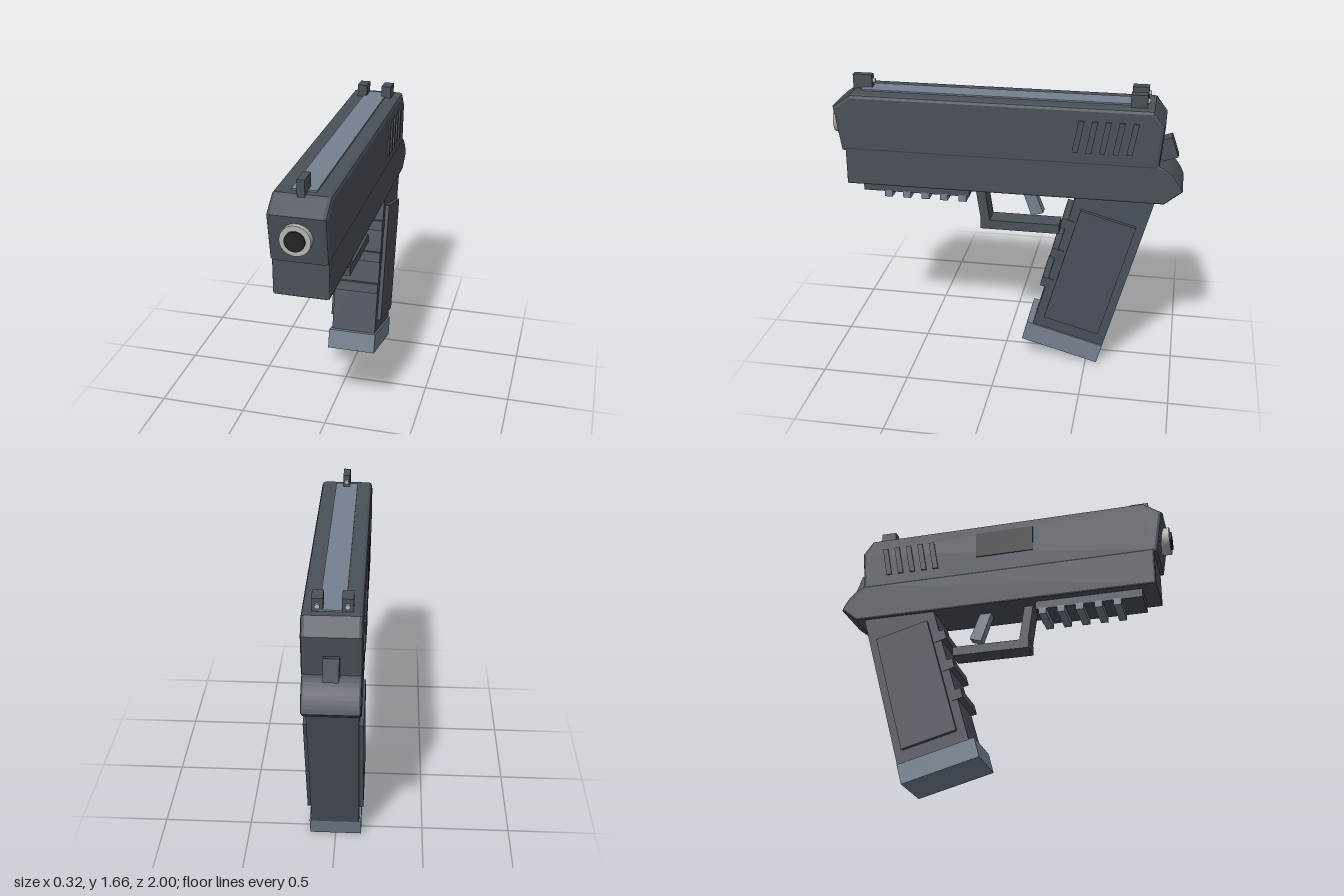
import * as THREE from 'three';

const material = (name, color) => {
  const m = new THREE.MeshStandardMaterial({ color });
  m.name = name;
  return m;
};

export function createModel() {
  const model = new THREE.Group();
  model.name = 'toyPistol';
  const body = material('slate grey', 0x4a5059);
  const accent = material('light slate', 0x75808f);
  const steel = material('pale steel', 0xb4b4b4);
  const dark = material('near black', 0x222328);

  const add = (name, geometry, mat, x = 0, y = 0, z = 0) => {
    const mesh = new THREE.Mesh(geometry, mat);
    mesh.name = name;
    mesh.position.set(x, y, z);
    model.add(mesh);
    return mesh;
  };
  const box = (name, mat, w, h, d, x, y, z) => add(name, new THREE.BoxGeometry(w, h, d), mat, x, y, z);

  // Extrudes a side outline of (z, y) points across x, with an optional bevel
  const side = (name, mat, outline, width, bevel = 0, x = 0) => {
    const shape = outline instanceof THREE.Shape
      ? outline : new THREE.Shape(outline.map(([z, y]) => new THREE.Vector2(z, y)));
    const depth = width - 2 * bevel;
    const geometry = new THREE.ExtrudeGeometry(shape, {
      depth, curveSegments: 10, bevelEnabled: bevel > 0, bevelSize: bevel,
      bevelThickness: bevel, bevelOffset: -bevel, bevelSegments: 2,
    });
    geometry.translate(0, 0, -depth / 2).rotateY(-Math.PI / 2);
    return add(name, geometry, mat, x);
  };

  // Slide with sloped nose and top rib
  side('slide', body, [[0.925, 1.25], [0.967, 1.51], [0.86, 1.585], [-0.82, 1.585],
    [-0.883, 1.5], [-0.862, 1.25]], 0.306, 0.02);
  box('topRib', accent, 0.13, 0.02, 1.6, 0, 1.583, 0.02);

  // Frame with curved rear tang
  const frame = new THREE.Shape();
  frame.moveTo(0.905, 1.05);
  frame.lineTo(0.905, 1.285);
  frame.lineTo(-0.84, 1.285);
  frame.quadraticCurveTo(-0.95, 1.25, -0.997, 1.13);
  frame.lineTo(-0.9, 1.05);
  side('frame', body, frame, 0.3, 0.012);

  // Barrel and bore
  const tube = (name, mat, r, length, z) =>
    add(name, new THREE.CylinderGeometry(r, r, length, 32).rotateX(Math.PI / 2), mat, 0, 1.395, z);
  tube('muzzleRing', steel, 0.08, 0.12, 0.93);
  tube('bore', dark, 0.053, 0.12, 0.94);

  // Sights with pale dots
  const dot = (x, y, z) =>
    add('sightDot', new THREE.CylinderGeometry(0.013, 0.013, 0.03, 16).rotateX(Math.PI / 2), steel, x, y, z);
  box('frontSight', body, 0.04, 0.09, 0.11, 0, 1.62, 0.82);
  dot(0, 1.627, 0.765);
  for (const s of [-1, 1]) {
    box('rearSight', body, 0.057, 0.08, 0.09, s * 0.074, 1.615, -0.735);
    dot(s * 0.074, 1.617, -0.778);
  }

  // Slanted grip ridges at the rear of the slide
  for (const s of [-1, 1]) {
    for (let i = 0; i < 5; i++) {
      const z = -0.386 - i * 0.074;
      side('slideRidge', body, [[z, 1.33], [z - 0.032, 1.33], [z - 0.064, 1.51], [z - 0.032, 1.51]],
        0.02, 0, s * 0.152);
    }
  }
  box('ejectionPort', dark, 0.009, 0.16, 0.35, -0.154, 1.45, 0.025);

  // Hammer
  box('hammer', body, 0.08, 0.12, 0.12, 0, 1.33, -0.885).rotation.x = 0.34;

  // Accessory rail
  box('rail', body, 0.21, 0.06, 0.62, 0, 1.03, 0.51);
  for (let i = 0; i < 5; i++) {
    box('railTooth', accent, 0.212, 0.04, 0.045, 0, 0.987, 0.675 - i * 0.109);
  }

  // Trigger and guard
  side('guardStrut', body, [[0.175, 1.06], [0.14, 0.83], [0.088, 0.83], [0.122, 1.06]], 0.12);
  box('guardBar', body, 0.12, 0.055, 0.46, 0, 0.813, -0.085);
  side('trigger', accent, [[-0.085, 1.06], [-0.15, 0.875], [-0.218, 0.897], [-0.155, 1.06]], 0.06);

  // Raked grip, side panels and magazine base
  side('grip', body, [[-0.415, 1.06], [-0.84, 1.06], [-0.845, 1.035], [-0.595, 0.11], [-0.18, 0.22]], 0.272);
  for (const s of [-1, 1]) {
    side('gripPanel', body, [[-0.445, 0.985], [-0.757, 0.9], [-0.57, 0.2], [-0.25, 0.285]], 0.03, 0, s * 0.144);
  }
  side('magazineBase', accent, [[-0.148, 0.235], [-0.596, 0.115], [-0.565, 0], [-0.118, 0.12]], 0.294);

  // Finger ridges along the front of the grip
  for (const y of [0.505, 0.695, 0.885]) {
    box('fingerRidge', body, 0.28, 0.06, 0.07, 0, y, -0.185 - (y - 0.23) * 0.28).rotation.x = -0.265;
  }

  return model;
}
